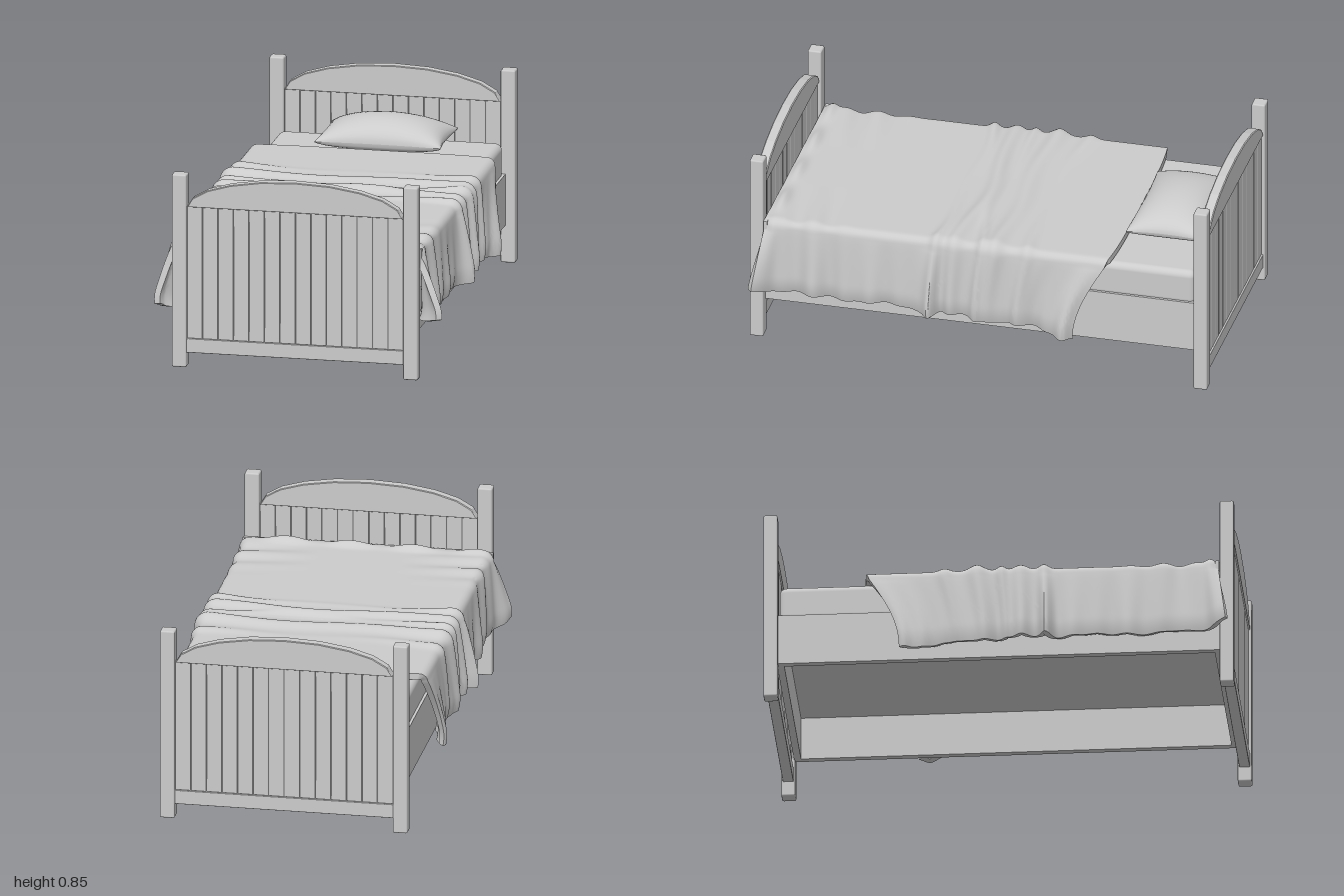
import * as THREE from 'three';
import { toCreasedNormals } from 'three/addons/utils/BufferGeometryUtils.js';
import { RoundedBoxGeometry } from 'three/addons/geometries/RoundedBoxGeometry.js';

const grey = new THREE.MeshStandardMaterial({ color: 0xcccccc });
const bump = (x, c, w) => Math.exp(-(((x - c) / w) ** 2));

function add(parent, name, geo, x = 0, y = 0, z = 0) {
  const m = new THREE.Mesh(geo, grey);
  m.name = name;
  m.position.set(x, y, z);
  parent.add(m);
  return m;
}

// A grid whose points follow fn(u, v) -> [x, y, z]
function surface(nu, nv, fn) {
  const g = new THREE.PlaneGeometry(1, 1, nu, nv);
  const { position: p, uv } = g.attributes;
  for (let i = 0; i < p.count; i++) p.setXYZ(i, ...fn(uv.getX(i), uv.getY(i)));
  g.computeVertexNormals();
  return g;
}

// A grid surface with a thickness and a closed rim
function cloth(nu, nv, t, fn) {
  const g = surface(nu, nv, fn);
  const p = g.attributes.position, n = g.attributes.normal, N = p.count;
  const pos = Array.from(p.array), idx = Array.from(g.index.array);
  for (let i = 0; i < N; i++)
    pos.push(p.getX(i) - n.getX(i) * t, p.getY(i) - n.getY(i) * t, p.getZ(i) - n.getZ(i) * t);
  const count = idx.length;
  for (let i = 0; i < count; i += 3) idx.push(idx[i] + N, idx[i + 2] + N, idx[i + 1] + N);
  const at = (ix, iy) => iy * (nu + 1) + ix, rim = [];
  for (let i = 0; i < nu; i++) rim.push(at(i, nv));
  for (let i = nv; i > 0; i--) rim.push(at(nu, i));
  for (let i = nu; i > 0; i--) rim.push(at(i, 0));
  for (let i = 0; i < nv; i++) rim.push(at(0, i));
  rim.forEach((a, k) => {
    const b = rim[(k + 1) % rim.length];
    idx.push(a, a + N, b, b, a + N, b + N);
  });
  const out = new THREE.BufferGeometry();
  out.setAttribute('position', new THREE.Float32BufferAttribute(pos, 3));
  out.setIndex(idx);
  return toCreasedNormals(out, 0.9);
}

// Head or foot board: posts, slats, bottom rail and arched top
function endBoard(name, z) {
  const g = new THREE.Group();
  g.name = name;
  g.position.set(0.002, 0, z);
  for (const s of [-1, 1])
    add(g, 'post', new RoundedBoxGeometry(0.064, 0.845, 0.06, 1, 0.007), s * 0.502, 0.4225, 0);
  add(g, 'bottomRail', new RoundedBoxGeometry(0.944, 0.062, 0.046, 1, 0.003), 0, 0.095, 0);
  add(g, 'backing', new THREE.BoxGeometry(0.94, 0.58, 0.022), 0, 0.415, 0);
  const w = 0.94 / 14;
  for (let i = 0; i < 14; i++)
    add(g, 'slat', new RoundedBoxGeometry(w - 0.001, 0.58, 0.032, 1, 0.004), -0.47 + w * (i + 0.5), 0.415, 0);
  const half = [[0.468, 0.703], [0.445, 0.742], [0.38, 0.779], [0.28, 0.808], [0.15, 0.828]];
  const arch = new THREE.Shape([
    ...half, [0, 0.835], ...half.slice().reverse().map(([x, y]) => [-x, y]),
  ].map(([x, y]) => new THREE.Vector2(x, y)));
  add(g, 'archedTop', new THREE.ExtrudeGeometry(arch, {
    depth: 0.038, bevelEnabled: true, bevelThickness: 0.004, bevelSize: 0.003, bevelOffset: -0.003, bevelSegments: 1,
  }), 0, 0, -0.019);
  return g;
}

// Creases across the bed: [z, width, height at the middle, height at the sides, bend]
const CREASES = [
  [-0.22, 0.03, 0.002, 0.014, 0.02], [-0.08, 0.04, 0.016, 0.026, 0], [0.0, 0.022, 0.004, 0.018, 0.03],
  [0.1, 0.035, 0.022, 0.02, -0.03], [0.19, 0.025, 0.004, 0.02, -0.02],
];

// How far the cloth is lifted along its outward direction
function crease(x, z) {
  const k = Math.min(1, Math.abs(x) / 0.5);
  let f = 0;
  for (const [c, w, mid, edge, bend] of CREASES)
    f += (mid + (edge - mid) * k * k) * bump(z, c + bend * (1 - k * k) + 0.012 * Math.sin(x * 9 + c * 40), w);
  f += 0.014 * Math.max(0, k - 0.35) * Math.sin(z * 42 + x * 5) * bump(z, 0.75, 0.16);
  return f + 0.024 * bump(z, 0.9, 0.025) * (0.6 + 0.4 * Math.sin(x * 23));
}

function blanketPoint(u, v) {
  const s = u * 2 - 1, a = Math.abs(s), side = s < 0 ? -1 : 1;
  const z0 = 0.935 - 1.485 * v;
  const corner = THREE.MathUtils.clamp((a - 0.5) / 0.1, 0, 1) * Math.PI / 2;
  const t = Math.max(0, (a - 0.6) / 0.4);
  let x = Math.min(a, 0.5) + 0.035 * Math.sin(corner);
  let y = 0.528 + 0.035 * Math.cos(corner);
  // The head edge bows toward the pillow and sweeps back down the sides
  let z = z0 + v ** 10 * (0.03 * Math.min(1, a / 0.6) ** 4 - 0.03);
  // Folds push outward: up on top, sideways on the drop
  const f = crease(side * x, z0) * (1 + 0.3 * t);
  x += f * Math.sin(corner);
  y += f * Math.cos(corner);
  // Hanging side: bulging, rippled, flared at the corners, with the hem curling in
  const hem = 0.232 - 0.05 * v ** 4 + 0.04 * bump(z0, 0.95, 0.06) + 0.006 * Math.sin(z0 * 19);
  const ripple = 0.008 * Math.sin(z0 * 27 + side) + 0.007 * Math.sin(z0 * 53 + 2 * side);
  const flare = 0.085 * bump(z0, 0.95, 0.05) + 0.045 * bump(z0, 0.2, 0.03) + 0.045 * bump(z0, -0.5, 0.08);
  x += t ** 0.8 * (0.022 + flare) + t * ripple - 0.014 * Math.max(0, (t - 0.75) / 0.25) ** 2;
  y -= t * (0.528 - hem);
  z += 0.13 * v ** 4 * Math.sin(t * Math.PI / 2) + 0.035 * t * (1 - v) ** 10;
  return [side * x, y, z];
}

// Half of the pillow; dir 1 is the top, -1 the underside
function pillowHalf(dir) {
  return surface(28, 20, (u, v) => {
    const a = Math.sin((u - 0.5) * Math.PI), b = Math.sin((v - 0.5) * Math.PI);
    const puff = Math.max(0, (1 - a * a) * (1 - b * b));
    const y = dir > 0 ? 0.095 * puff ** 0.5 : -0.052 * puff ** 0.35;
    return [dir * a * 0.275 * (1 - 0.06 * (1 - b * b)), y, -b * 0.173 * (1 - 0.07 * (1 - a * a))];
  });
}

export function createModel() {
  const bed = new THREE.Group();
  bed.name = 'bed';
  bed.add(endBoard('footBoard', 0.97), endBoard('headBoard', -0.97));

  // Frame, open underneath
  for (const s of [-1, 1]) {
    add(bed, 'sideRail', new THREE.BoxGeometry(0.03, 0.225, 1.89), s * 0.48, 0.2775, 0);
    add(bed, 'endRail', new THREE.BoxGeometry(0.93, 0.225, 0.03), 0, 0.2775, s * 0.93);
  }
  add(bed, 'basePanel', new THREE.BoxGeometry(0.94, 0.03, 1.86), 0, 0.37, 0);
  add(bed, 'mattress', new RoundedBoxGeometry(0.97, 0.16, 1.84, 4, 0.03), 0, 0.45, -0.015);

  // Pillow
  const pillow = new THREE.Group();
  pillow.name = 'pillow';
  pillow.position.set(0.017, 0.583, -0.756);
  add(pillow, 'pillowTop', pillowHalf(1));
  add(pillow, 'pillowUnderside', pillowHalf(-1));
  bed.add(pillow);

  // Blanket, with a flap tucked down behind the foot board
  add(bed, 'blanket', cloth(110, 150, 0.028, blanketPoint));
  add(bed, 'blanketFootFlap', cloth(40, 10, 0.016, (u, v) => {
    const x = (u - 0.5) * 1.08;
    return [x, 0.395 + 0.165 * v, 0.938 + 0.005 * Math.sin(x * 30) * (1 - v)];
  }));

  return bed;
}
